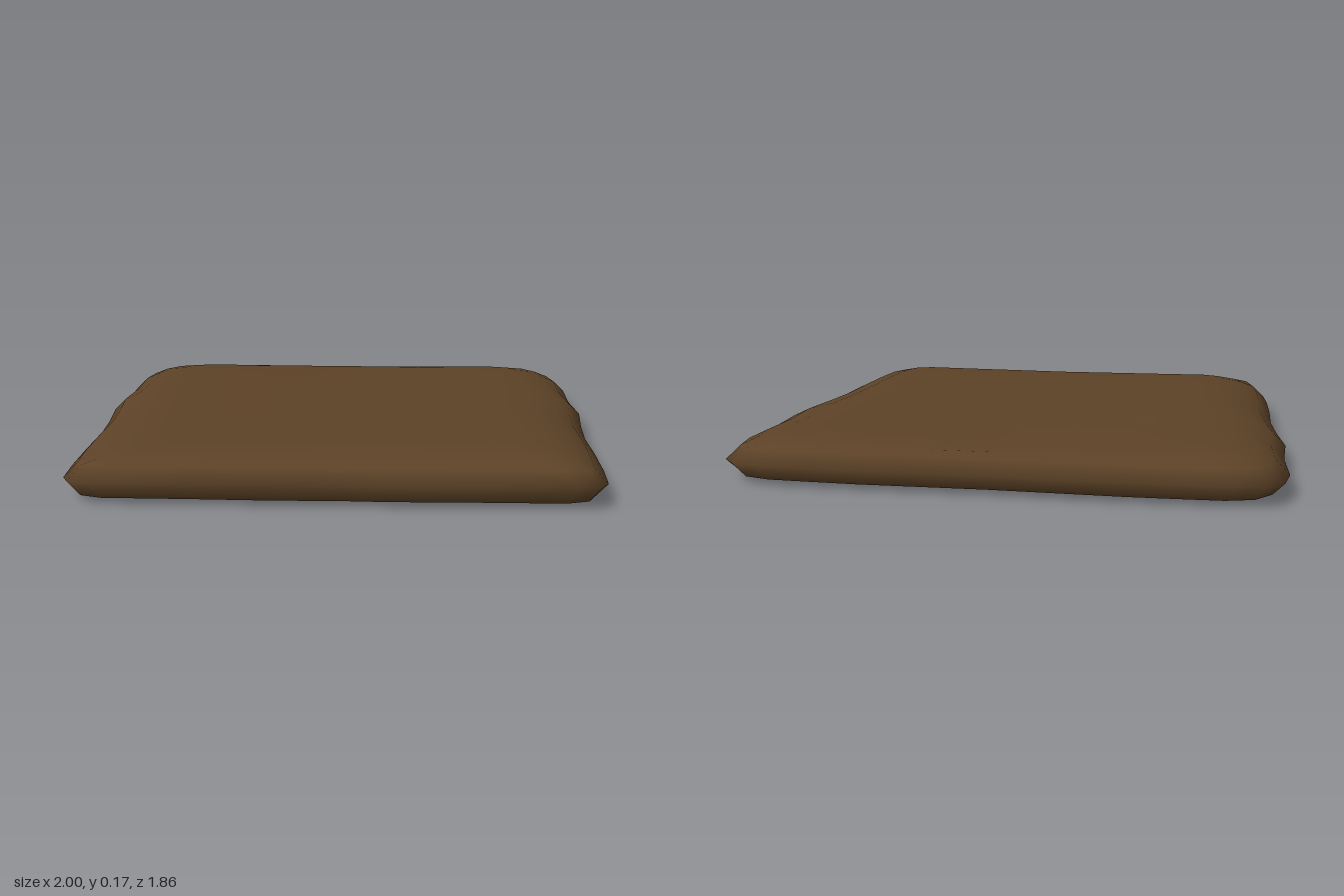
import * as THREE from 'three';
import { mergeVertices } from 'three/addons/utils/BufferGeometryUtils.js';

// Right half of the plan outline [x, z], from the back middle to the front middle
const HALF = [
  [0, -0.92], [0.24, -0.925], [0.48, -0.93], [0.65, -0.926], [0.82, -0.92], [0.92, -0.89], [0.98, -0.81],
  [1, -0.69], [0.988, -0.46], [1, -0.23], [0.972, 0], [0.955, 0.2], [0.955, 0.42],
  [0.948, 0.65], [0.935, 0.81], [0.9, 0.89], [0.82, 0.918], [0.5, 0.92], [0.2, 0.926], [0, 0.92],
];

// Rings from the bottom centre, round the edge, to the top centre: [x scale, z scale, y]
const RINGS = [
  [0, 0, 0.004], [0.5, 0.5, 0.004], [0.86, 0.88, 0.008], [0.96, 0.965, 0.026],
  [1, 1, 0.072], [0.95, 0.968, 0.122], [0.89, 0.93, 0.15], [0.8, 0.87, 0.166],
  [0.68, 0.72, 0.168], [0.52, 0.54, 0.167], [0.35, 0.36, 0.166], [0.18, 0.18, 0.165], [0, 0, 0.165],
];

// Gentle unevenness of the padded top
function topBump(x, z) {
  const pads = 0.011 * Math.exp(-(((Math.abs(x) - 0.6) / 0.25) ** 2)) * Math.exp(-(((z - 0.25) / 0.6) ** 2));
  const backDip = -0.016 * Math.exp(-((x / 0.45) ** 2) - ((z + 0.8) / 0.35) ** 2);
  return pads + backDip;
}

function cushionGeometry() {
  const left = HALF.slice(1, -1).reverse().map(([x, z]) => [-x, z]);
  const outline = [...HALF, ...left];
  const n = outline.length;
  const positions = [];
  const indices = [];
  RINGS.forEach(([sx, sz, y], r) => {
    for (const [ox, oz] of outline) {
      const x = ox * sx, z = oz * sz;
      let h = y;
      // Front and back edges are fuller than the sides
      if (r === 4 || r === 5) h += 0.018 * Math.max(0, Math.abs(oz) - 0.8) / 0.13 * (oz > 0 ? 1 : 0.6);
      if (r > 6) h += topBump(x, z);
      positions.push(x, h, z);
    }
  });
  for (let r = 0; r < RINGS.length - 1; r++) {
    for (let j = 0; j < n; j++) {
      const k = (j + 1) % n;
      const a = r * n + j, b = r * n + k, c = b + n, d = a + n;
      if (r < RINGS.length - 2) indices.push(a, d, b);
      else indices.push(a, d, b);
      if (r > 0 && r < RINGS.length - 2) indices.push(b, d, c);
      if (r === 0) {
        // Bottom fan
        indices.splice(-3, 3, a, d, c);
      }
    }
  }
  const geometry = new THREE.BufferGeometry();
  geometry.setAttribute('position', new THREE.Float32BufferAttribute(positions, 3));
  geometry.setIndex(indices);
  const merged = mergeVertices(geometry, 1e-5);
  merged.computeVertexNormals();
  return merged;
}

export function createModel() {
  const group = new THREE.Group();
  group.name = 'seatCushion';
  const leather = new THREE.MeshStandardMaterial({ color: 0x5c4227 });
  const cushion = new THREE.Mesh(cushionGeometry(), leather);
  cushion.name = 'cushion';
  group.add(cushion);
  return group;
}
